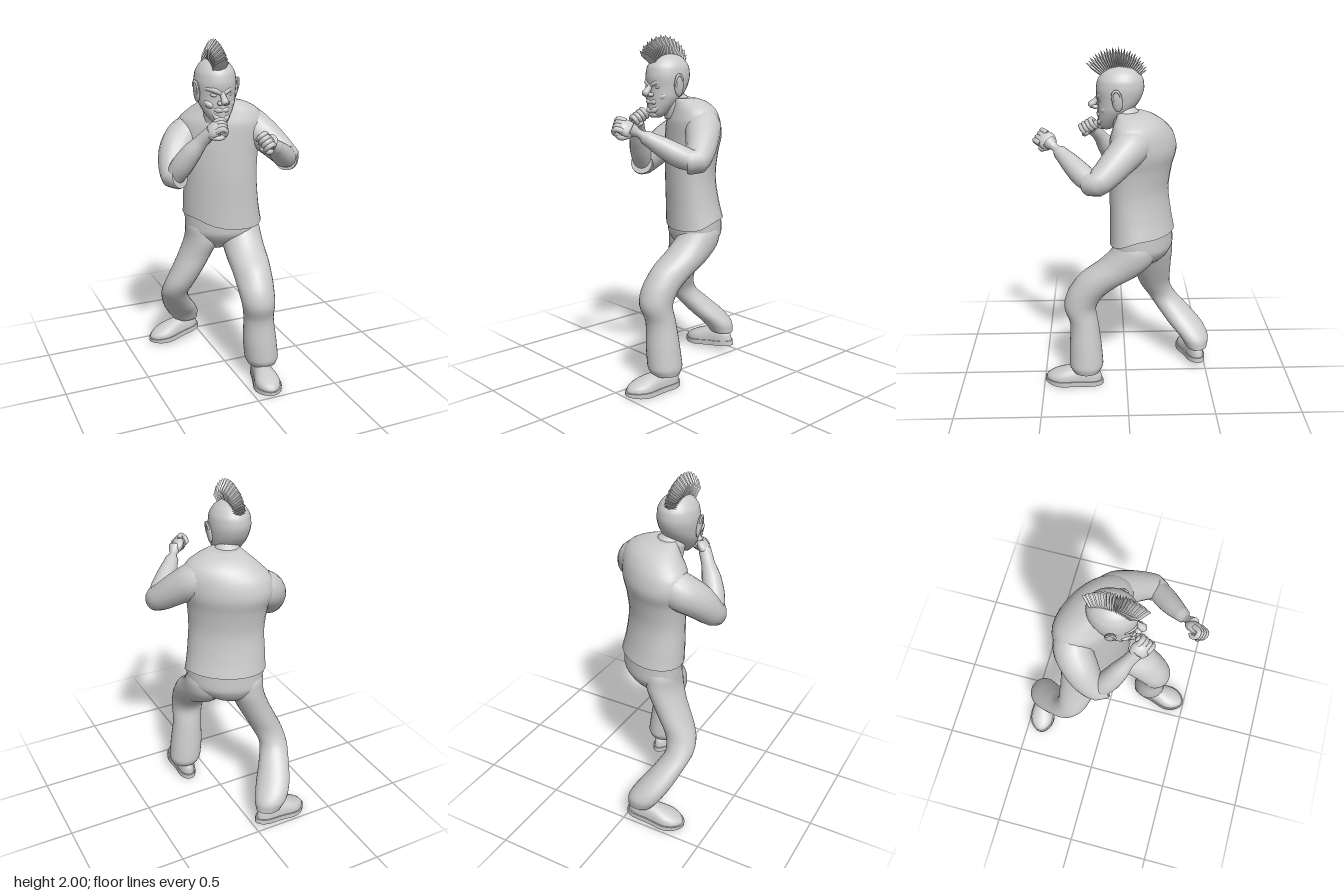
import * as THREE from 'three';

const mat = new THREE.MeshStandardMaterial({ color: 0xcccccc, side: THREE.DoubleSide });
const V = (x, y, z) => new THREE.Vector3(x, y, z);

function add(parent, name, geometry) {
  const mesh = new THREE.Mesh(geometry, mat);
  mesh.name = name;
  parent.add(mesh);
  return mesh;
}

// Skin a list of closed rings and close both ends with flat caps
function skin(rings) {
  const n = rings[0].length, m = rings.length, pos = [], idx = [];
  const put = p => pos.push(p.x, p.y, p.z) / 3 - 1;
  rings.forEach(r => r.forEach(put));
  for (let i = 0; i < m - 1; i++) for (let j = 0; j < n; j++) {
    const a = i * n + j, b = i * n + (j + 1) % n;
    idx.push(a, a + n, b, b, a + n, b + n);
  }
  [rings[0], rings[m - 1]].forEach((ring, end) => {
    const c = V(0, 0, 0);
    ring.forEach(p => c.addScaledVector(p, 1 / n));
    const mid = put(c), first = ring.map(put)[0];
    for (let j = 0; j < n; j++) {
      const a = first + j, b = first + (j + 1) % n;
      if (end) idx.push(mid, b, a); else idx.push(mid, a, b);
    }
  });
  const g = new THREE.BufferGeometry();
  g.setAttribute('position', new THREE.Float32BufferAttribute(pos, 3));
  g.setIndex(idx);
  g.computeVertexNormals();
  return g;
}

// Body from level oval sections, bottom to top: [y, centreX, centreZ, halfX, halfZ, turn]
function loft(rows, steps = 4, sides = 28) {
  const centre = new THREE.CatmullRomCurve3(rows.map(r => V(r[1], r[0], r[2])));
  const size = new THREE.CatmullRomCurve3(rows.map(r => V(r[3], r[4], r[5] || 0)));
  const count = (rows.length - 1) * steps, rings = [];
  for (let i = 0; i <= count; i++) {
    const c = centre.getPoint(i / count), s = size.getPoint(i / count), ring = [];
    for (let j = 0; j < sides; j++) {
      const t = j / sides * Math.PI * 2, x = s.x * Math.cos(t), z = s.y * Math.sin(t);
      ring.push(V(c.x + x * Math.cos(s.z) - z * Math.sin(s.z), c.y, c.z + x * Math.sin(s.z) + z * Math.cos(s.z)));
    }
    rings.push(ring);
  }
  return skin(rings);
}

// Same, given as extents, top to bottom: [y, x0, x1, z0, z1]
const loftBox = rows => loft(rows.map(([y, x0, x1, z0, z1]) =>
  [y, (x0 + x1) / 2, (z0 + z1) / 2, (x1 - x0) / 2, (z1 - z0) / 2]).reverse());

// Round limb along a path: [x, y, z, radius]
function limb(rows, steps = 18, sides = 18) {
  const path = new THREE.CatmullRomCurve3(rows.map(r => V(r[0], r[1], r[2])));
  const radius = new THREE.CatmullRomCurve3(rows.map(r => V(r[3], 0, 0)));
  const f = path.computeFrenetFrames(steps), rings = [];
  for (let i = 0; i <= steps; i++) {
    const p = path.getPointAt(i / steps), r = radius.getPoint(path.getUtoTmapping(i / steps)).x, ring = [];
    for (let j = 0; j < sides; j++) {
      const t = j / sides * Math.PI * 2;
      ring.push(p.clone().addScaledVector(f.normals[i], r * Math.cos(t)).addScaledVector(f.binormals[i], -r * Math.sin(t)));
    }
    rings.push(ring);
  }
  return skin(rings);
}

function ball(parent, name, x, y, z, sx, sy, sz) {
  const mesh = add(parent, name, new THREE.SphereGeometry(1, 20, 14));
  mesh.position.set(x, y, z);
  mesh.scale.set(sx, sy, sz);
  return mesh;
}

// Closed hand: local +y runs along the hand, +z is its back
function fist(name, at, along, back, thumbSide) {
  const g = new THREE.Group();
  g.name = name;
  ball(g, 'palm', 0, -0.002, -0.006, 0.052, 0.056, 0.03);
  for (let i = 0; i < 4; i++) {
    const x = (i - 1.5) * 0.023;
    add(g, 'finger', limb([[x, 0.015, 0.004, 0.016], [x, 0.056, -0.004, 0.015], [x, 0.055, -0.036, 0.013],
      [x, 0.024, -0.048, 0.012], [x, 0.008, -0.036, 0.007]], 12, 8));
  }
  const s = thumbSide;
  add(g, 'thumb', limb([[s * 0.03, -0.03, -0.01, 0.016], [s * 0.052, 0.005, -0.03, 0.015],
    [s * 0.03, 0.03, -0.056, 0.012], [s * 0.005, 0.035, -0.06, 0.008]], 10, 8));
  const y = along.normalize(), x = y.clone().cross(back).normalize();
  g.quaternion.setFromRotationMatrix(new THREE.Matrix4().makeBasis(x, y, x.clone().cross(y)));
  g.position.copy(at);
  return g;
}

// Shoe: local +z points to the toe, sole on y = 0
function shoe(name) {
  const g = new THREE.Group();
  g.name = name;
  const shape = (geo, widen, high) => {
    const p = geo.attributes.position;
    for (let i = 0; i < p.count; i++) {
      const z = p.getZ(i), waist = 0.07 + 0.014 * z - 0.01 * Math.cos(z * 4 + 0.8);
      p.setXYZ(i, p.getX(i) * (waist + widen), high(p.getY(i), z), z * (0.172 + widen));
    }
    geo.computeVertexNormals();
    return geo;
  };
  add(g, 'upper', shape(new THREE.SphereGeometry(1, 24, 16), 0,
    (y, z) => 0.025 + Math.max(y, 0) ** 0.7 * (0.083 - 0.03 * z)));
  add(g, 'sole', shape(new THREE.CylinderGeometry(1, 1, 1, 32), 0.007, (y, z) => y > 0 ? 0.03 : 0.01 * Math.max(z, 0) ** 3));
  return g;
}

export function createModel() {
  const model = new THREE.Group();
  model.name = 'fighter';

  // Trousers, hips turned so the left one leads
  add(model, 'trouserSeat', loft([[0.73, -0.01, -0.12, 0.04, 0.03, 0.6], [0.765, 0, -0.115, 0.11, 0.085, 0.6],
    [0.81, 0.012, -0.105, 0.18, 0.13, 0.6], [0.87, 0.02, -0.098, 0.222, 0.157, 0.6], [0.975, 0.02, -0.095, 0.226, 0.155, 0.6]]));
  add(model, 'leftTrouserLeg', loftBox([[0.96, 0.05, 0.2, -0.12, 0.05], [0.88, 0.01, 0.23, -0.165, 0.083],
    [0.8, -0.005, 0.23, -0.155, 0.155],
    [0.72, -0.01, 0.222, -0.08, 0.26], [0.65, -0.01, 0.21, 0.04, 0.318], [0.58, -0.01, 0.2, 0.13, 0.355],
    [0.5, 0, 0.195, 0.18, 0.37], [0.4, 0.02, 0.2, 0.168, 0.338], [0.25, 0.022, 0.222, 0.15, 0.343],
    [0.14, 0.035, 0.235, 0.142, 0.345], [0.095, 0.055, 0.225, 0.16, 0.325]]));
  add(model, 'rightTrouserLeg', loftBox([[0.96, -0.15, 0, -0.25, -0.06], [0.88, -0.183, 0.025, -0.28, -0.015],
    [0.8, -0.187, 0.012, -0.283, -0.015],
    [0.7, -0.22, -0.03, -0.28, -0.045], [0.6, -0.265, -0.08, -0.28, -0.065], [0.5, -0.31, -0.13, -0.285, -0.1],
    [0.42, -0.32, -0.155, -0.325, -0.15], [0.33, -0.29, -0.115, -0.415, -0.215], [0.25, -0.255, -0.06, -0.49, -0.28],
    [0.18, -0.215, -0.018, -0.525, -0.345], [0.12, -0.17, -0.015, -0.515, -0.385]]));

  // Shoes
  const leftShoe = shoe('leftShoe');
  leftShoe.position.set(0.12, 0, 0.32);
  leftShoe.rotation.y = -0.15;
  const rightShoe = shoe('rightShoe');
  rightShoe.position.set(-0.18, 0.022, -0.43);
  rightShoe.rotation.set(0.09, -1.4, 0, 'YXZ');
  model.add(leftShoe, rightShoe);

  // Shirt, turned like the hips; the hem dips in front
  const shirt = loft([[0.955, 0.02, -0.095, 0.236, 0.166, 0.6], [1.05, 0.01, -0.087, 0.226, 0.155, 0.61],
    [1.2, 0.003, -0.077, 0.217, 0.147, 0.62], [1.34, 0.002, -0.088, 0.228, 0.154, 0.62],
    [1.43, 0.003, -0.1, 0.25, 0.162, 0.6], [1.52, 0.012, -0.09, 0.248, 0.152, 0.56],
    [1.59, 0.025, -0.072, 0.195, 0.125, 0.52], [1.63, 0.012, -0.052, 0.135, 0.096, 0.5], [1.648, -0.01, -0.03, 0.09, 0.072, 0.5]]);
  const p = shirt.attributes.position;
  for (let i = 0; i < p.count; i++) {
    const front = THREE.MathUtils.smoothstep(p.getZ(i), -0.08, 0.1), low = 1 - THREE.MathUtils.smoothstep(p.getY(i), 0.95, 1.15);
    p.setY(i, p.getY(i) - 0.055 * front * low);
  }
  shirt.computeVertexNormals();
  add(model, 'shirt', shirt);
  add(model, 'leftSleeve', limb([[0.0, 1.5, -0.07, 0.08], [0.08, 1.515, -0.055, 0.1], [0.155, 1.495, -0.025, 0.105],
    [0.22, 1.445, 0.035, 0.095], [0.295, 1.36, 0.13, 0.078], [0.315, 1.33, 0.175, 0.07], [0.285, 1.332, 0.205, 0.068]], 22));
  add(model, 'rightSleeve', limb([[-0.02, 1.45, -0.12, 0.08], [-0.1, 1.455, -0.16, 0.1], [-0.18, 1.425, -0.16, 0.107],
    [-0.257, 1.36, -0.1, 0.1], [-0.305, 1.275, -0.03, 0.08], [-0.312, 1.24, 0.015, 0.07], [-0.29, 1.25, 0.05, 0.067]], 22));

  // Forearms and hands
  add(model, 'leftForearm', limb([[0.315, 1.325, 0.175, 0.055], [0.255, 1.36, 0.24, 0.063], [0.19, 1.41, 0.305, 0.055],
    [0.125, 1.465, 0.375, 0.038], [0.08, 1.505, 0.43, 0.038]]));
  add(model, 'rightForearm', limb([[-0.315, 1.235, 0.01, 0.055], [-0.28, 1.32, 0.065, 0.062], [-0.24, 1.4, 0.11, 0.055],
    [-0.195, 1.47, 0.15, 0.038], [-0.155, 1.525, 0.19, 0.036]]));
  model.add(fist('leftHand', V(0.065, 1.512, 0.445), V(-0.45, 0.4, 0.8), V(0.7, 0.6, 0.3), -1));
  model.add(fist('rightHand', V(-0.148, 1.54, 0.2), V(0.6, 0.5, 0.5), V(-0.5, 0.75, 0.4), 1));

  // Neck and head
  const head = new THREE.Group();
  head.name = 'head';
  model.add(head);
  add(head, 'neck', limb([[-0.03, 1.56, -0.02, 0.09], [-0.045, 1.63, 0.005, 0.08], [-0.06, 1.72, 0.03, 0.08]]));
  add(head, 'skull', loft([[1.54, -0.075, 0.11, 0.022, 0.025], [1.56, -0.075, 0.1, 0.045, 0.055],
    [1.61, -0.075, 0.078, 0.08, 0.08], [1.66, -0.073, 0.055, 0.102, 0.103], [1.71, -0.072, 0.038, 0.11, 0.122],
    [1.77, -0.072, 0.031, 0.115, 0.136], [1.82, -0.071, 0.029, 0.108, 0.13], [1.86, -0.071, 0.027, 0.085, 0.104],
    [1.885, -0.071, 0.025, 0.054, 0.068], [1.897, -0.071, 0.025, 0.012, 0.014]]));

  // Face
  const fx = -0.078;
  add(head, 'nose', limb([[fx, 1.725, 0.15, 0.012], [fx, 1.7, 0.172, 0.016], [fx, 1.678, 0.193, 0.022], [fx, 1.667, 0.204, 0.012]], 12, 12));
  ball(head, 'chin', fx, 1.558, 0.137, 0.034, 0.02, 0.022);
  for (const s of [-1, 1]) {
    ball(head, 'nostril', fx + s * 0.02, 1.67, 0.172, 0.016, 0.013, 0.018);
    const cheek = ball(head, 'cheek', fx + s * 0.057, 1.658, 0.113, 0.035, 0.022, 0.028);
    cheek.rotation.set(0, s * 0.6, s * 0.5);
    const eye = ball(head, 'eye', fx + s * 0.043, 1.71, 0.137, 0.021, 0.01, 0.018);
    eye.rotation.z = s * 0.2;
    add(head, 'brow', limb([[fx + s * 0.006, 1.718, 0.156, 0.011], [fx + s * 0.038, 1.736, 0.148, 0.015],
      [fx + s * 0.078, 1.745, 0.115, 0.01]], 10, 10));
    // Ear lying close to the skull
    const ear = new THREE.Group();
    ear.name = 'ear';
    ear.position.set(-0.072 + s * 0.115, 1.722, 0.05);
    ear.rotation.set(0.12, -s * 0.15, -s * 0.12, 'YXZ');
    head.add(ear);
    ball(ear, 'earShell', 0, 0, 0, 0.013, 0.064, 0.03);
    const rim = add(ear, 'earRim', new THREE.TorusGeometry(0.024, 0.006, 8, 20, 4.4));
    rim.position.set(s * 0.007, 0.022, 0);
    rim.rotation.y = Math.PI / 2;
    rim.scale.y = 1.5;
  }
  // Wide open grin with two rows of teeth
  const lip = (drop, r) => limb([[fx - 0.062, 1.646, 0.122, r * 0.6], [fx - 0.036, 1.638 - drop * 0.75, 0.14, r],
    [fx, 1.634 - drop, 0.154, r], [fx + 0.036, 1.638 - drop * 0.75, 0.14, r], [fx + 0.062, 1.646, 0.122, r * 0.6]], 16, 8);
  add(head, 'upperLip', lip(0.008, 0.009));
  add(head, 'lowerLip', lip(0.06, 0.009));
  for (let i = -3; i <= 3; i++) for (const y of [1.615, 1.587]) {
    const tooth = add(head, 'tooth', new THREE.BoxGeometry(0.01, 0.015, 0.012));
    tooth.position.set(fx + i * 0.0115, y + i * i * 0.0014, 0.149 - i * i * 0.0018);
    tooth.rotation.y = i * 0.15;
  }

  // Crest of flat pointed tufts from forehead to the back of the skull
  const crest = new THREE.Group();
  crest.name = 'crest';
  head.add(crest);
  const tufts = 26;
  for (let i = 0; i < tufts; i++) {
    const u = i / (tufts - 1), a = THREE.MathUtils.degToRad(36 + 114 * u);
    const outer = 0.228 - 0.035 * u * u - (i % 2) * 0.008;
    const outline = [[0.036, 0.09], [0.038, outer - 0.055], [0, outer]].map(q => new THREE.Vector2(...q));
    const geo = new THREE.LatheGeometry(outline, 4, Math.PI / 2).toNonIndexed();
    geo.scale(1, 1, 0.3);
    geo.computeVertexNormals();
    const tuft = add(crest, 'tuft', geo);
    tuft.position.set(-0.088 + 0.012 * u, 1.78, 0.04);
    tuft.rotation.x = Math.PI / 2 - a;
  }
  return model;
}
